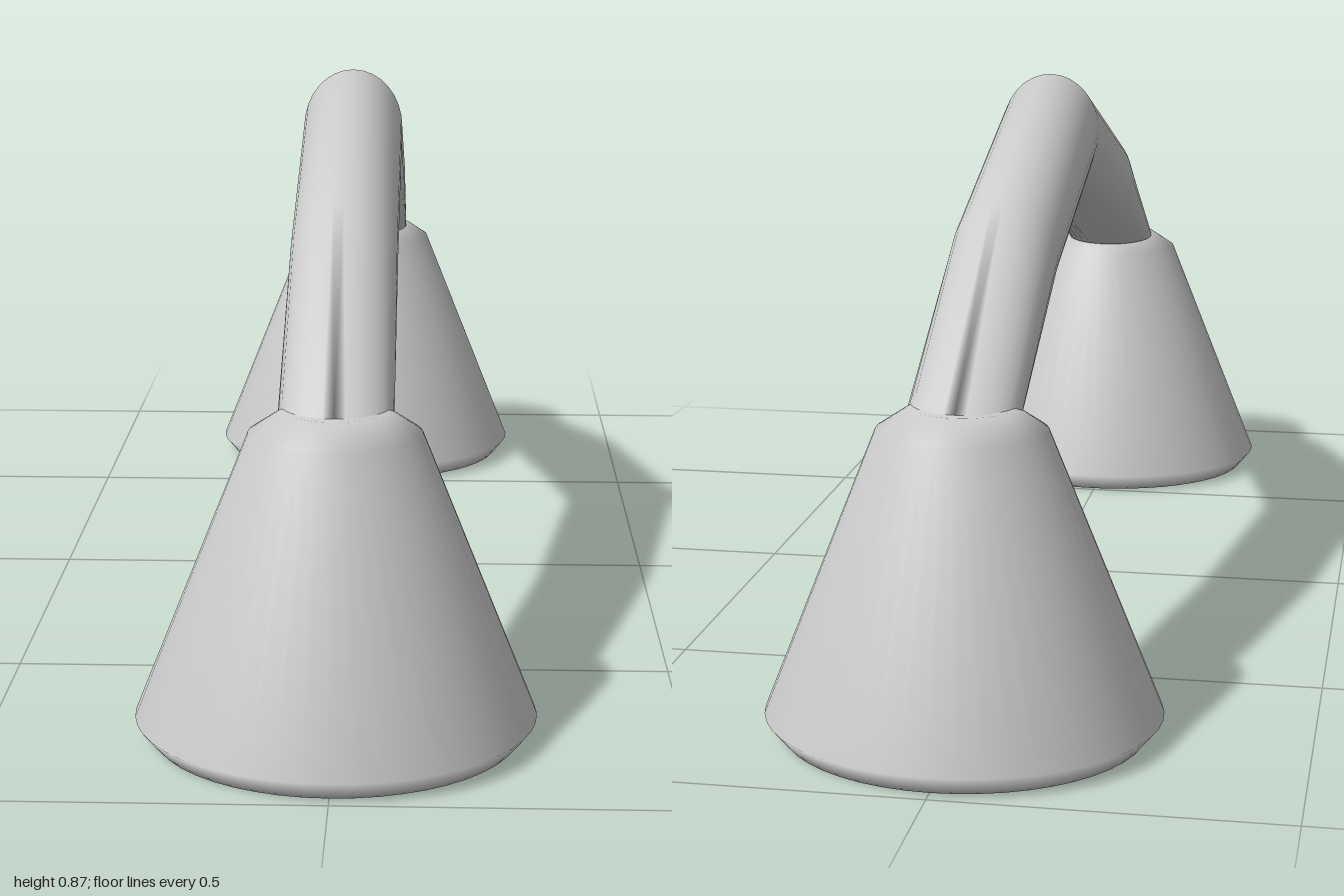
import * as THREE from 'three';

const material = new THREE.MeshStandardMaterial({ color: 0xcccccc, side: THREE.DoubleSide });

// Tapered oval foot with a bevelled base and a softened top
function createFoot(name, z) {
  const profile = [[0, 0], [0.263, 0], [0.288, 0.03], [0.123, 0.445], [0.075, 0.477], [0, 0.477]]
    .map(([r, y]) => new THREE.Vector2(r, y));
  const geometry = new THREE.LatheGeometry(profile, 48);
  geometry.scale(1, 1, 0.89);
  const foot = new THREE.Mesh(geometry, material);
  foot.name = name;
  foot.position.z = z;
  return foot;
}

// Arched bar lofted through oval sections, each given by its top and bottom point
function createHandle() {
  const half = [
    { top: [0.795, 0.475], bottom: [0.645, 0.462] },
    { top: [0.435, 0.715], bottom: [0.39, 0.555] },
  ];
  const mirrored = half.map(({ top, bottom }) => ({
    top: [-top[0], top[1]], bottom: [-bottom[0], bottom[1]],
  })).reverse();
  const sections = [...half, { top: [0, 0.865], bottom: [0, 0.675] }, ...mirrored];

  const sides = 32, halfWidth = 0.082;
  const positions = [], indices = [];
  for (const { top, bottom } of sections) {
    for (let i = 0; i < sides; i++) {
      const a = (i / sides) * Math.PI * 2;
      const t = (1 + Math.cos(a)) / 2;
      positions.push(
        halfWidth * Math.sin(a),
        THREE.MathUtils.lerp(bottom[1], top[1], t),
        THREE.MathUtils.lerp(bottom[0], top[0], t),
      );
    }
  }
  for (let s = 0; s < sections.length - 1; s++) {
    for (let i = 0; i < sides; i++) {
      const j = (i + 1) % sides;
      const a = s * sides + i, b = s * sides + j, c = a + sides, d = b + sides;
      indices.push(a, b, c, b, d, c);
    }
  }
  // End caps
  const last = (sections.length - 1) * sides;
  for (let i = 1; i < sides - 1; i++) {
    indices.push(0, i + 1, i, last, last + i, last + i + 1);
  }

  const geometry = new THREE.BufferGeometry();
  geometry.setAttribute('position', new THREE.Float32BufferAttribute(positions, 3));
  // Wind the faces outward: sections run from +z to -z
  for (let k = 0; k < indices.length; k += 3) {
    [indices[k + 1], indices[k + 2]] = [indices[k + 2], indices[k + 1]];
  }
  geometry.setIndex(indices);
  if (outwardVolume(positions, indices) < 0) {
    for (let k = 0; k < indices.length; k += 3) {
      [indices[k + 1], indices[k + 2]] = [indices[k + 2], indices[k + 1]];
    }
    geometry.setIndex(indices);
  }
  geometry.computeVertexNormals();
  const handle = new THREE.Mesh(geometry, material);
  handle.name = 'handle';
  return handle;
}

// Signed volume, positive when faces point outward
function outwardVolume(positions, indices) {
  const point = (i) => new THREE.Vector3().fromArray(positions, i * 3);
  let volume = 0;
  for (let k = 0; k < indices.length; k += 3) {
    volume += point(indices[k]).dot(point(indices[k + 1]).cross(point(indices[k + 2])));
  }
  return volume;
}

export function createModel() {
  const model = new THREE.Group();
  model.name = 'archedHandle';
  model.add(createFoot('frontFoot', 0.743), createFoot('backFoot', -0.743), createHandle());
  return model;
}
